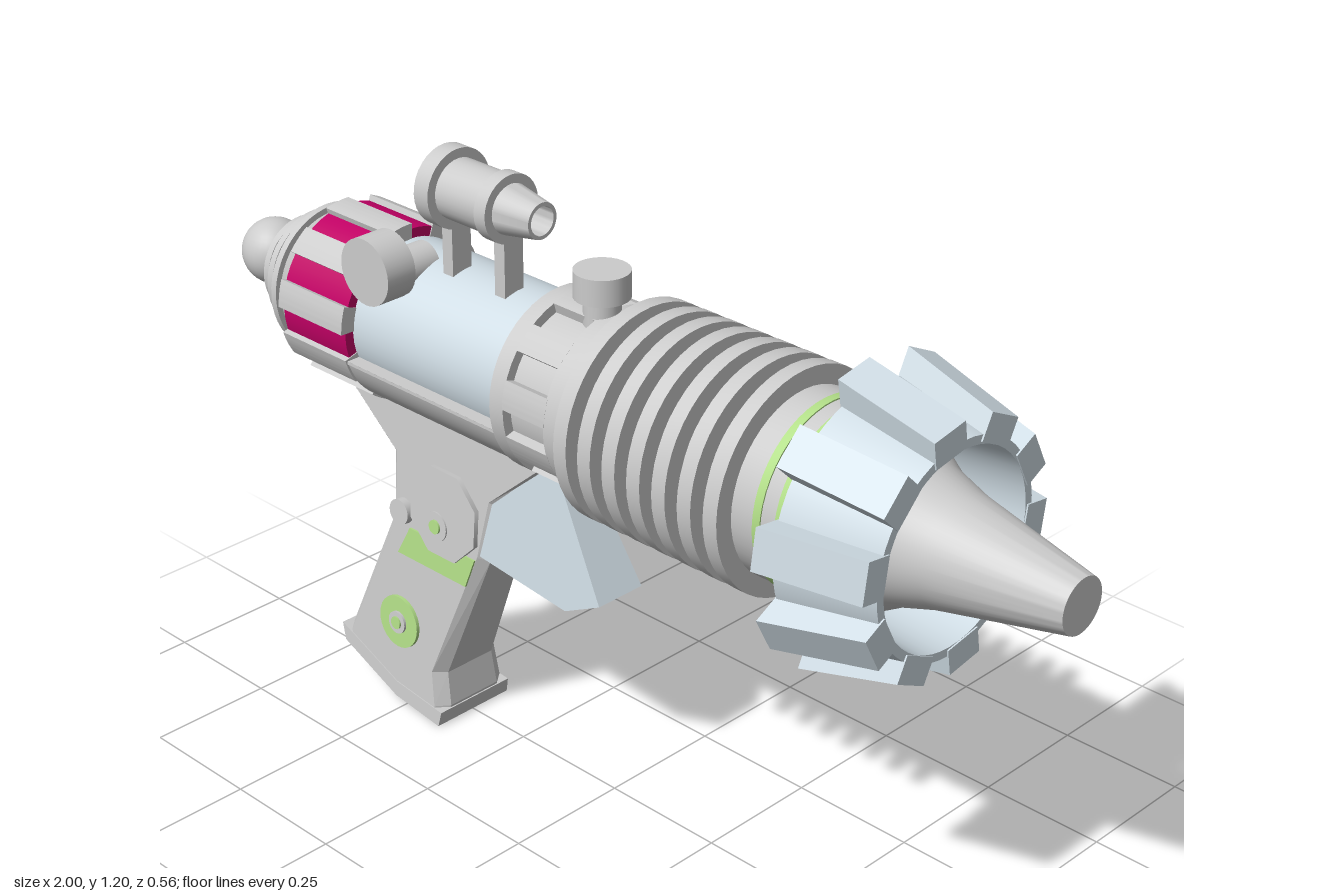
import * as THREE from 'three';
import { toCreasedNormals } from 'three/addons/utils/BufferGeometryUtils.js';

const mat = (color) => new THREE.MeshStandardMaterial({ color });
const GREY = mat(0xcccccc);
const STEEL = mat(0xd0dde5);
const MAGENTA = mat(0xc00064);
const GREEN = mat(0xb2de88);
const AXIS = 0.823; // height of the barrel axis
const STEP = Math.PI / 5; // ten repeats around the barrel
const rad = THREE.MathUtils.degToRad;

function add(parent, name, geometry, material = GREY, x = 0, y = 0, z = 0) {
  const mesh = new THREE.Mesh(geometry, material);
  mesh.name = name;
  mesh.position.set(x, y, z);
  parent.add(mesh);
  return mesh;
}

// Turned part along x from [x, radius] pairs, listed towards +x
function turned(profile, segments = 48, start = 0, sweep = Math.PI * 2) {
  const points = profile.map(([x, r]) => new THREE.Vector2(r, x));
  const g = new THREE.LatheGeometry(points, segments, start, sweep);
  return toCreasedNormals(g.rotateZ(-Math.PI / 2), 0.5);
}

const drum = (x0, x1, r) => turned([[x0, 0], [x0, r], [x1, r], [x1, 0]]);

const outline = (pts) => new THREE.Shape(pts.map(([x, y]) => new THREE.Vector2(x, y)));

// Curved bar along x; angle runs from the top towards +z
function curvedBar(x0, x1, r0, r1, angle, width) {
  const a = Math.PI / 2 + angle;
  const shape = new THREE.Shape();
  shape.absarc(0, 0, r1, a - width / 2, a + width / 2, false);
  shape.absarc(0, 0, r0, a + width / 2, a - width / 2, true);
  const g = new THREE.ExtrudeGeometry(shape, { depth: x1 - x0, bevelEnabled: false, curveSegments: 5 });
  return toCreasedNormals(g.rotateY(Math.PI / 2).translate(x0, 0, 0), 0.5);
}

// Side outline given a thickness that varies with height
function taperedSlab(pts, halfWidth, chamfer) {
  const t = chamfer ? 0.3 : 0;
  const g = new THREE.ExtrudeGeometry(outline(pts), {
    depth: 2 - 2 * t, bevelEnabled: chamfer > 0, bevelSegments: 1,
    bevelThickness: t, bevelSize: chamfer, bevelOffset: -chamfer,
  });
  g.translate(0, 0, -1 + t);
  const p = g.attributes.position;
  for (let i = 0; i < p.count; i++) p.setZ(i, p.getZ(i) * halfWidth(p.getY(i)));
  g.computeVertexNormals();
  return g;
}

// Disc facing +z
const disc = (r, depth, sides = 28) => new THREE.CylinderGeometry(r, r, depth, sides).rotateX(Math.PI / 2);

function buildBarrel() {
  const barrel = new THREE.Group();
  barrel.name = 'barrel';
  barrel.position.y = AXIS;

  // Rear ball and stepped cone
  add(barrel, 'rearBall', new THREE.SphereGeometry(0.066, 32, 20), GREY, -0.934);
  add(barrel, 'rearCone', turned([[-0.89, 0], [-0.89, 0.052], [-0.71, 0.16], [-0.71, 0]]));
  [[-0.843, 0.097], [-0.802, 0.121], [-0.76, 0.146]].forEach(([x, r]) =>
    add(barrel, 'rearRing', drum(x - 0.007, x + 0.007, r)));

  // Rear drum with coloured panels between ribs
  add(barrel, 'panelDrum', drum(-0.708, -0.532, 0.163), MAGENTA);
  for (let i = 0; i < 10; i++) {
    add(barrel, 'drumRib', curvedBar(-0.71, -0.53, 0.14, 0.174, rad(7) + i * STEP, STEP / 2));
  }

  // Middle tube in its lower cradle
  add(barrel, 'middleTube', drum(-0.54, -0.12, 0.144), STEEL);
  add(barrel, 'cradle', turned([[-0.535, 0], [-0.535, 0.17], [-0.13, 0.17], [-0.13, 0]],
    32, 0.297, Math.PI - 0.594));
  add(barrel, 'cradleTop', new THREE.BoxGeometry(0.405, 0.006, 0.325), GREY, -0.3325, -0.053);

  // Slotted collar
  add(barrel, 'collarCore', drum(-0.13, 0.04, 0.155));
  add(barrel, 'collarRear', drum(-0.134, -0.1, 0.174));
  add(barrel, 'collarFront', drum(0, 0.045, 0.174));
  for (let i = 0; i < 10; i++) {
    add(barrel, 'collarRib', curvedBar(-0.102, 0.002, 0.14, 0.174, rad(7) + i * STEP, STEP / 2));
  }

  // Front tube with cooling fins and bright bands
  add(barrel, 'frontTube', drum(0.04, 0.58, 0.17));
  for (let i = 0; i < 7; i++) {
    const x = 0.057 + i * 0.0575;
    add(barrel, 'coolingFin', drum(x, x + 0.03, 0.205));
  }
  [0.487, 0.533].forEach((x) => add(barrel, 'brightBand', drum(x - 0.008, x + 0.008, 0.1725), GREEN));

  // Toothed crown around the muzzle
  add(barrel, 'crownRing', turned([[0.575, 0.15], [0.575, 0.23], [0.757, 0.194], [0.757, 0.178], [0.59, 0.165], [0.575, 0.15]]), STEEL);
  const toothShape = outline([[0.572, 0.19], [0.76, 0.178], [0.76, 0.228], [0.572, 0.276]]);
  for (let i = 0; i < 10; i++) {
    const g = new THREE.ExtrudeGeometry(toothShape, { depth: 0.076, bevelEnabled: false });
    g.translate(0, 0, -0.038).rotateX(rad(10) + i * STEP);
    add(barrel, 'crownTooth', g, STEEL);
  }
  add(barrel, 'muzzleCone', turned([[0.57, 0.168], [0.61, 0.164], [0.65, 0.145], [0.69, 0.122],
    [0.76, 0.1], [1, 0.05], [1, 0]]));
  return barrel;
}

function buildScope() {
  const scope = new THREE.Group();
  scope.name = 'scope';
  scope.position.set(0, 1.125, 0.03);
  add(scope, 'scopeTube', turned([[-0.393, 0.05], [-0.393, 0.075], [-0.357, 0.075], [-0.357, 0.057],
    [-0.25, 0.057], [-0.25, 0.064], [-0.222, 0.064], [-0.222, 0.047], [-0.145, 0.034],
    [-0.145, 0.027], [-0.25, 0.027], [-0.393, 0.05]], 32));
  [-0.373, -0.237].forEach((x) =>
    add(scope, 'scopePost', new THREE.BoxGeometry(0.026, 0.15, 0.045), GREY, x, -0.118, -0.005));
  return scope;
}

function buildGrip() {
  const grip = new THREE.Group();
  grip.name = 'grip';
  add(grip, 'handle', taperedSlab([[-0.71, 0.665], [-0.555, 0.535], [-0.555, 0.4], [-0.68, 0.11],
    [-0.67, 0.085], [-0.52, 0.02], [-0.395, 0.005], [-0.39, 0.04], [-0.4, 0.11], [-0.285, 0.4],
    [-0.26, 0.52], [-0.11, 0.665]], (y) => 0.09 - 0.075 * y, 0.02));
  add(grip, 'buttPlate', taperedSlab([[-0.685, 0.115], [-0.675, 0.08], [-0.52, 0.018], [-0.395, 0.003],
    [-0.388, 0.035], [-0.52, 0.05]], (y) => 0.092 - 0.075 * y, 0));
  add(grip, 'trigger', taperedSlab([[-0.3, 0.41], [-0.07, 0.388], [0.015, 0.43], [-0.115, 0.66],
    [-0.3, 0.66]], (y) => 0.092 - 0.087 * y, 0), STEEL);

  // Fittings on both cheeks, lying on the sloped faces
  [1, -1].forEach((side) => {
    const mirror = new THREE.Group();
    mirror.name = side > 0 ? 'frontCheek' : 'backCheek';
    mirror.scale.z = side;
    const cheek = new THREE.Group();
    cheek.position.z = 0.09;
    cheek.rotation.x = -Math.atan(0.075);
    mirror.add(cheek);
    grip.add(mirror);

    add(cheek, 'pivotPlate', disc(0.096, 0.02, 8).rotateZ(Math.PI / 8), GREY, -0.393, 0.467, 0);
    add(cheek, 'pivotWasher', disc(0.03, 0.012), GREY, -0.408, 0.437, 0.007);
    add(cheek, 'pivotBolt', disc(0.014, 0.016), GREEN, -0.408, 0.437, 0.009);
    add(cheek, 'badgeRing', disc(0.054, 0.014), side > 0 ? GREEN : GREY, -0.513, 0.188, 0);
    add(cheek, 'badgeHub', disc(0.023, 0.02), GREY, -0.513, 0.188, 0.002);
    add(cheek, 'badgeBolt', disc(0.013, 0.024), GREEN, -0.513, 0.188, 0.003);
    if (side > 0) {
      add(cheek, 'sideButton', disc(0.026, 0.03), GREY, -0.51, 0.43, 0);
      const patch = outline([[-0.522, 0.337], [-0.33, 0.337], [-0.308, 0.4], [-0.49, 0.4]]);
      add(cheek, 'brightPatch', new THREE.ExtrudeGeometry(patch, { depth: 0.004, bevelEnabled: false }), GREEN);
    }
  });
  return grip;
}

export function createModel() {
  const model = new THREE.Group();
  model.name = 'rayGun';
  model.add(buildBarrel(), buildScope(), buildGrip());

  // Dial on the front flank
  add(model, 'sideDial', disc(0.064, 0.065, 32), GREY, -0.465, 0.972, 0.133);
  add(model, 'dialStem', disc(0.04, 0.1), GREY, -0.465, 0.95, 0.07);

  // Button on top of the collar
  add(model, 'topKnobStem', new THREE.CylinderGeometry(0.034, 0.034, 0.08, 24), GREY, -0.015, 0.995, 0.015);
  add(model, 'topKnobCap', new THREE.CylinderGeometry(0.051, 0.051, 0.05, 28), GREY, -0.015, 1.046, 0.015);
  return model;
}
